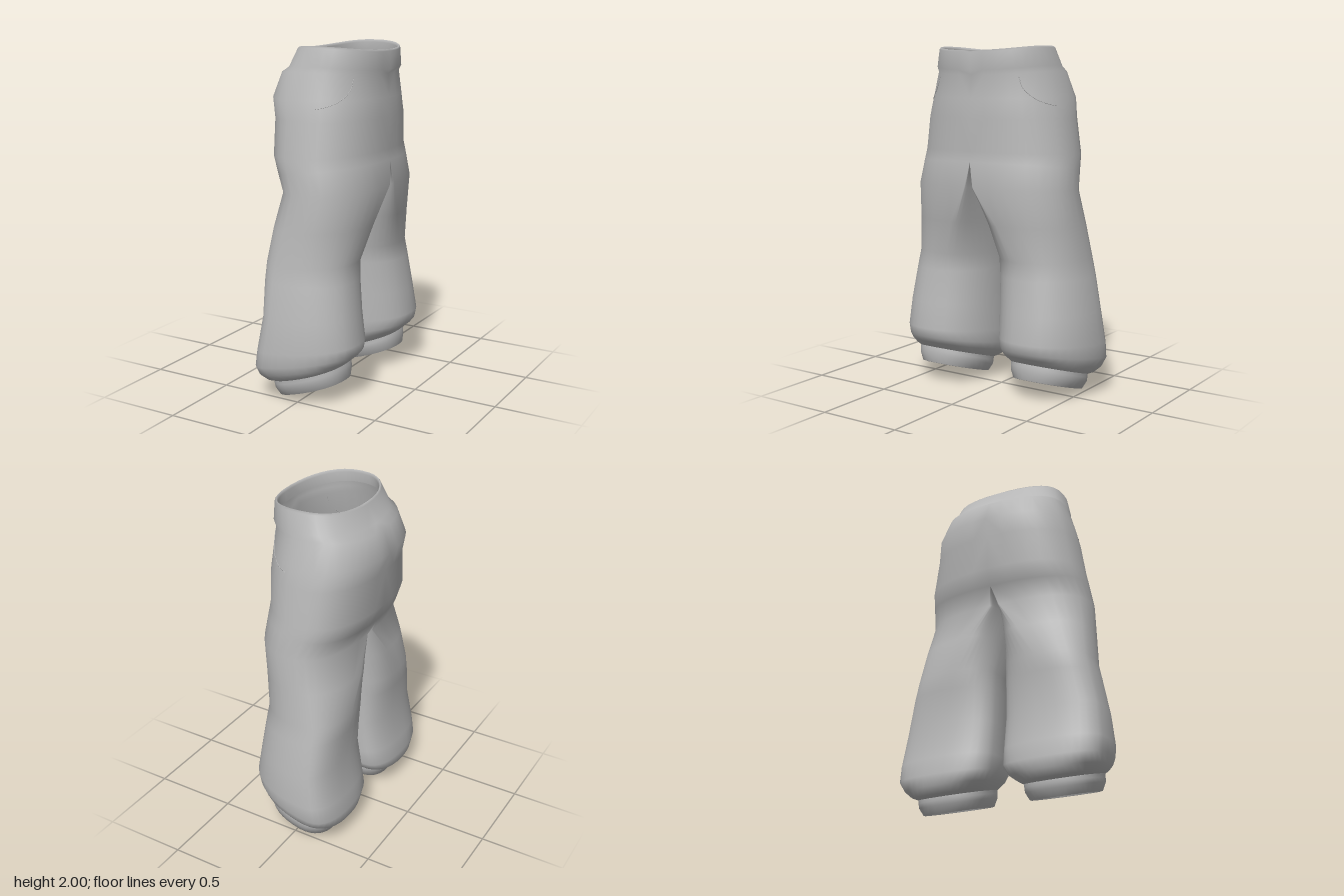
import * as THREE from 'three';
import { mergeGeometries, mergeVertices } from 'three/addons/utils/BufferGeometryUtils.js';

const SIDES = 36;
const { smoothstep, lerp } = THREE.MathUtils;

// Trouser profile: height, least x, greatest x, outer z
const bodyProfile = [
  [1.93, -0.178, 0.29, 0.335],
  [1.985, -0.17, 0.295, 0.328],
  [2, -0.178, 0.305, 0.337],
  [1.99, -0.187, 0.312, 0.346],
  [1.89, -0.24, 0.316, 0.372],
  [1.86, -0.285, 0.3, 0.38],
  [1.71, -0.332, 0.31, 0.426],
  [1.6, -0.305, 0.317, 0.448],
  [1.4, -0.3, 0.31, 0.48],
  [1.32, -0.265, 0.318, 0.49],
  [1.2, -0.215, 0.333, 0.505],
  [1, -0.245, 0.288, 0.525],
  [0.8, -0.255, 0.247, 0.545],
  [0.7, -0.25, 0.257, 0.565],
  [0.5, -0.235, 0.282, 0.603],
  [0.32, -0.272, 0.308, 0.622],
  [0.24, -0.288, 0.298, 0.62],
  [0.19, -0.283, 0.27, 0.6],
  [0.155, -0.25, 0.235, 0.57],
  [0.145, -0.207, 0.217, 0.547],
];

// Cuff profile: height, least x, greatest x, half width in z
const cuffProfile = [
  [0.145, -0.207, 0.217, 0.215],
  [0.125, -0.207, 0.222, 0.213],
  [0.1, -0.2, 0.224, 0.212],
  [0.056, -0.178, 0.222, 0.188],
  [0.053, -0.17, 0.212, 0.178],
  [0.075, -0.178, 0.212, 0.183],
];

// The halves meet at the crotch and part into two legs below it
function bodySection([y, back, front, outer]) {
  const drop = Math.max(0, 1.32 - y);
  const hem = Math.max(0, (0.25 - y) / 0.095);
  const flare = Math.max(0, (0.55 - y) / 0.4);
  const middle = 0.335 * (1 - Math.exp(-((drop / 0.4) ** 2)));
  const inner = 0.034 * (1 - smoothstep(y, 0.7, 1.32)) + 0.066 * hem ** 2;
  const tilt = 0.12 * Math.exp(-(((y - 1.3) / 0.1) ** 2)) + 0.3 * flare ** 2;
  return { y, back, front, middle, inner, outer, tilt };
}

function cuffSection([y, back, front, half]) {
  return { y, back, front, middle: 0.332, inner: 0.332 - half, outer: 0.332 + half, tilt: 0.308 };
}

// Point on a rounded section; angle PI/2 is the outer side.
// Baggy lower legs are square behind and tapered in front.
function sectionPoint({ y, back, front, middle, inner, outer, tilt }, angle) {
  const c = Math.cos(angle), s = Math.sin(angle);
  const baggy = (1 - smoothstep(y, 0.3, 1.2)) * smoothstep(y, 0.14, 0.24);
  const power = c < 0 ? 0.78 - 0.18 * baggy : 0.9 + 0.1 * baggy;
  const px = Math.sign(c) * Math.abs(c) ** power;
  const pz = Math.sign(s) * Math.abs(s) ** 0.88;
  const pivot = (back + front) / 2 - 0.02;
  const centre = pivot - 0.08 * baggy;
  const x = centre + px * (c > 0 ? front - centre : centre - back);
  const z = Math.max(0, middle + pz * (s > 0 ? outer - middle : middle - inner));
  const dip = smoothstep(y, 1.75, 1.9) * 0.026 * c * c;
  return new THREE.Vector3(x, y + tilt * (x - pivot) - dip, z);
}

// Skin the sections of one half, leaving it open along the centre plane
function loftHalf(sections, side) {
  const positions = [], index = [];
  for (const section of sections) {
    for (let j = 0; j < SIDES; j++) {
      const p = sectionPoint(section, (j / SIDES) * Math.PI * 2);
      positions.push(p.x, p.y, p.z < 1e-4 ? 0 : p.z * side);
    }
  }
  const onCentre = (i) => positions[i * 3 + 2] === 0;
  const addFace = (a, b, c) => {
    if (onCentre(a) && onCentre(b) && onCentre(c)) return;
    index.push(...(side > 0 ? [a, b, c] : [a, c, b]));
  };
  for (let i = 0; i < sections.length - 1; i++) {
    for (let j = 0; j < SIDES; j++) {
      const a = i * SIDES + j, b = i * SIDES + ((j + 1) % SIDES);
      addFace(a, b, a + SIDES);
      addFace(b, b + SIDES, a + SIDES);
    }
  }
  const geometry = new THREE.BufferGeometry();
  geometry.setAttribute('position', new THREE.Float32BufferAttribute(positions, 3));
  geometry.setIndex(index);
  return geometry;
}

// Outer section at any height between the waist and the hem
function sectionAt(y) {
  const outside = bodyProfile.slice(3);
  const i = outside.findIndex((row) => row[0] <= y);
  const upper = outside[i - 1], lower = outside[i];
  const f = (upper[0] - y) / (upper[0] - lower[0]);
  return bodySection(upper.map((v, n) => lerp(v, lower[n], f)));
}

export function createModel() {
  const group = new THREE.Group();
  const cloth = new THREE.MeshStandardMaterial({ color: 0xb8b8b8, side: THREE.DoubleSide });
  cloth.name = 'grey cloth';

  const add = (name, geometry) => {
    const mesh = new THREE.Mesh(geometry, cloth);
    mesh.name = name;
    group.add(mesh);
  };

  // Waist, seat and both legs share one smooth skin
  const bodySections = bodyProfile.map(bodySection);
  const halves = [1, -1].map((side) => loftHalf(bodySections, side));
  const body = mergeVertices(mergeGeometries(halves), 1e-4);
  body.computeVertexNormals();
  add('trouserBody', body);

  const cuffSections = cuffProfile.map(cuffSection);
  for (const side of [1, -1]) {
    const place = side > 0 ? 'front' : 'back';

    // Narrow tilted ankle cuff, turned in at the hem
    const cuff = loftHalf(cuffSections, side);
    cuff.computeVertexNormals();
    add(place + 'AnkleCuff', cuff);

    // Curved seam of the hip pocket
    const seam = [[0.72, 1.84], [0.75, 1.77], [0.92, 1.71], [1.15, 1.68], [1.3, 1.67]];
    const points = seam.map(([angle, y]) => {
      const p = sectionPoint(sectionAt(y), angle);
      p.z *= side;
      return p;
    });
    add(place + 'PocketSeam',
      new THREE.TubeGeometry(new THREE.CatmullRomCurve3(points), 16, 0.002, 5));
  }
  return group;
}
